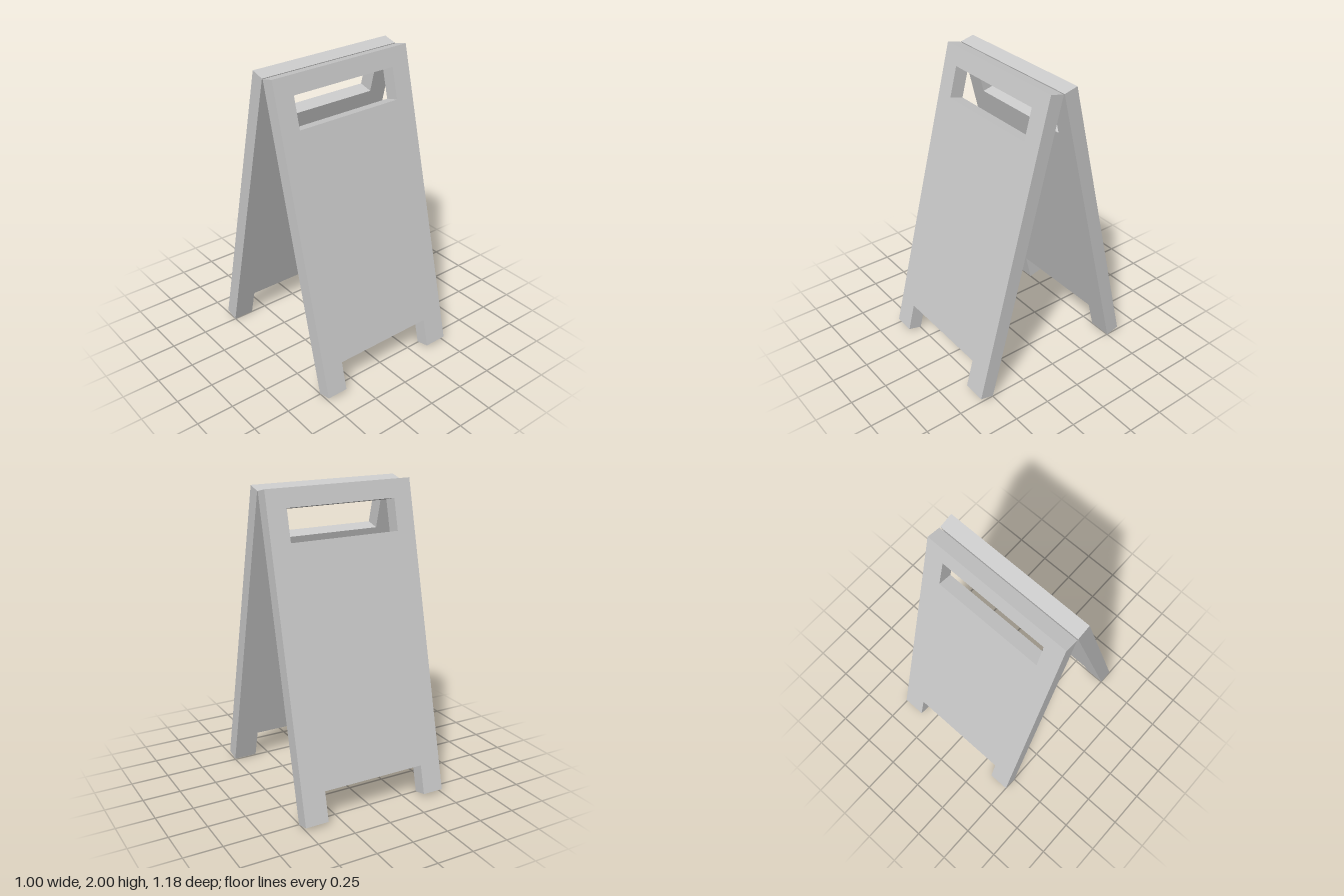
import * as THREE from 'three';

const HALF_W = 0.502;
const LENGTH = 2.033;
const THICK = 0.095;

// Board outline: origin at the top outer edge, hanging down along -y
function boardShape() {
  const shape = new THREE.Shape();
  const outline = [
    [-HALF_W, 0], [-HALF_W, -LENGTH], [-0.36, -LENGTH], [-0.36, -1.84],
    [0.345, -1.84], [0.345, -LENGTH], [HALF_W, -LENGTH], [HALF_W, 0],
  ];
  shape.setFromPoints(outline.map(([x, y]) => new THREE.Vector2(x, y)));

  // Handle slot
  const slot = [[-0.375, -0.119], [0.373, -0.119], [0.373, -0.325], [-0.375, -0.325]];
  shape.holes.push(new THREE.Path(slot.map(([x, y]) => new THREE.Vector2(x, y))));
  return shape;
}

// side = +1 for the front board, -1 for the back board
function makeBoard(name, side, topZ, degrees, material) {
  const geometry = new THREE.ExtrudeGeometry(boardShape(), { depth: THICK, bevelEnabled: false });
  if (side > 0) geometry.translate(0, 0, -THICK); // thickness goes inwards
  const board = new THREE.Mesh(geometry, material);
  board.name = name;
  board.position.set(0, 2, topZ);
  board.rotation.x = -side * THREE.MathUtils.degToRad(degrees);
  return board;
}

export function createModel() {
  const group = new THREE.Group();
  group.name = 'sandwichBoardSign';
  const material = new THREE.MeshStandardMaterial({ color: 0xcccccc, flatShading: true });
  group.add(makeBoard('frontBoard', 1, 0.083, 14.5, material));
  group.add(makeBoard('backBoard', -1, -0.108, 13.8, material));
  return group;
}
